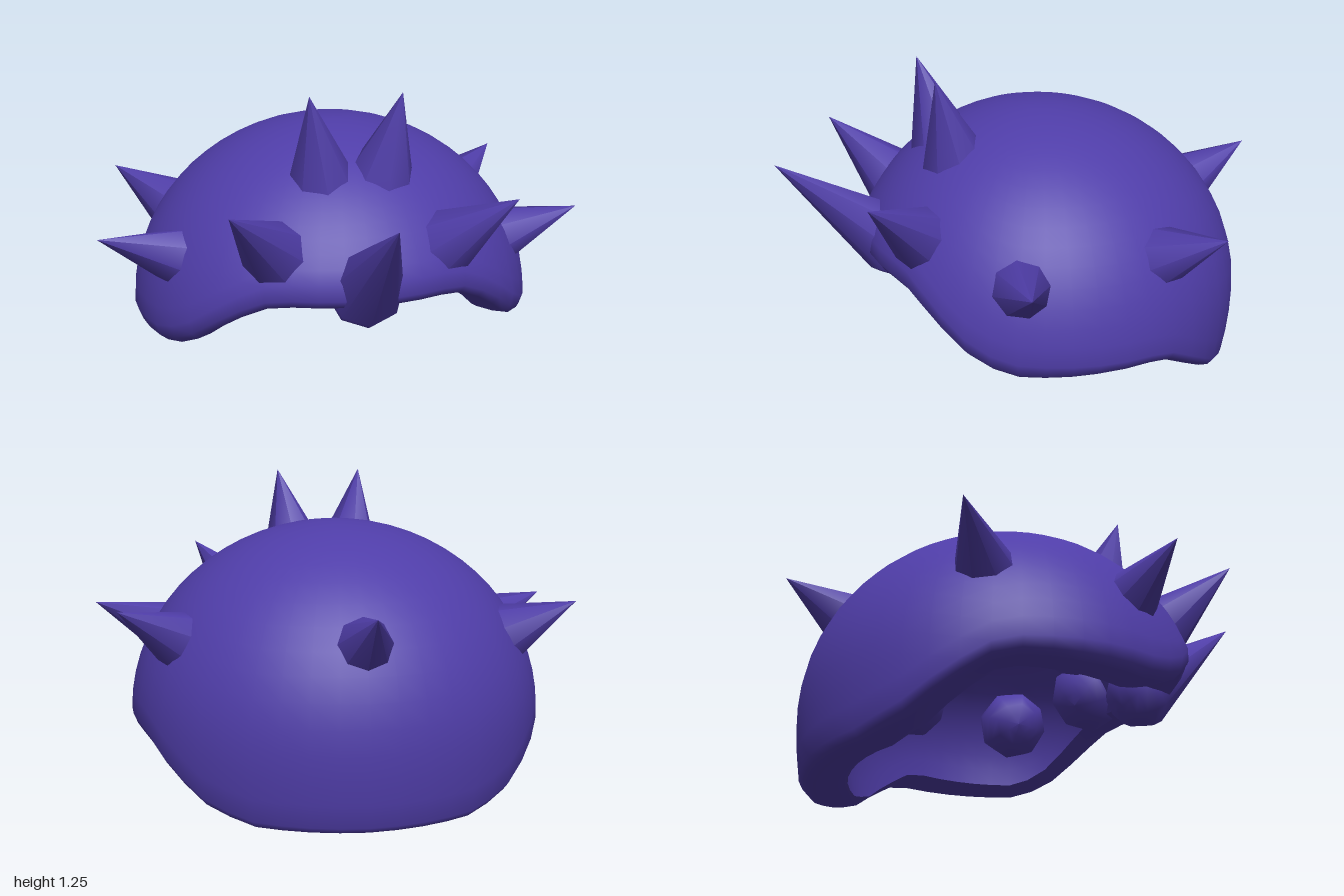
import * as THREE from 'three';
import { mergeVertices } from 'three/addons/utils/BufferGeometryUtils.js';

const purple = new THREE.MeshStandardMaterial({ color: 0x4f3da8 });
purple.name = 'purple';

// Dome ellipsoid: centre height, centre depth and radii
const CY = 0.3, CZ = -0.07, RX = 0.835, RY = 0.77, FRONT = 0.79, BACK = 0.83;
const INNER = 0.78;

// Rim height by angle in degrees from the front: brow, cheek, nape
const RIM = [[0, 0.5], [28, 0.5], [40, 0.43], [52, 0.32], [64, 0.25], [110, 0.25],
  [122, 0.16], [136, 0.05], [150, 0.005], [180, 0]];

function rimHeight(t) {
  const deg = Math.abs(THREE.MathUtils.radToDeg(t > Math.PI ? t - 2 * Math.PI : t));
  const k = Math.max(1, RIM.findIndex(([a]) => a >= deg - 1e-6));
  const [a0, y0] = RIM[k - 1], [a1, y1] = RIM[k];
  return y0 + (y1 - y0) * (deg - a0) / (a1 - a0);
}

// The inner lip sits slightly above the lowest edge, most of all at the nape
const lipHeight = (t) => rimHeight(t) + 0.02 - 0.015 * Math.cos(t);

// Point on the ellipsoid scaled by s, at azimuth t and height y; steeper below its centre
function onDome(t, y, s) {
  const h = (y - CY) / (RY * s) * (y < CY ? 0.7 : 1);
  const r = s * Math.sqrt(Math.max(0, 1 - h * h));
  const c = Math.cos(t);
  return [RX * r * Math.sin(t), y, CZ + (c > 0 ? FRONT : BACK) * r * c];
}

// Column of points from the crown down to height y
function arc(t, y, s, n) {
  const end = Math.acos((y - CY) / (RY * s));
  return Array.from({ length: n + 1 }, (_, j) =>
    onDome(t, CY + RY * s * Math.cos(end * j / n), s));
}

// Skin a surface from one column of points per azimuth
function surface(name, column, cols = 48) {
  const pos = [], index = [];
  let rows = 0;
  for (let i = 0; i <= cols; i++) {
    const pts = column((i % cols) / cols * 2 * Math.PI);
    rows = pts.length;
    pos.push(...pts.flat());
  }
  for (let i = 0; i < cols; i++) {
    for (let j = 0; j < rows - 1; j++) {
      const a = i * rows + j, b = a + 1, d = a + rows, c = d + 1;
      index.push(a, b, c, a, c, d);
    }
  }
  let geo = new THREE.BufferGeometry();
  geo.setAttribute('position', new THREE.Float32BufferAttribute(pos, 3));
  geo.setIndex(index);
  geo = mergeVertices(geo, 1e-4);
  geo.computeVertexNormals();
  const mesh = new THREE.Mesh(geo, purple);
  mesh.name = name;
  return mesh;
}

// Cone with a round root that bulges through the lining
function spike(name, root, tip, radius) {
  const from = new THREE.Vector3(...root), dir = new THREE.Vector3(...tip).sub(from);
  const profile = [];
  for (let k = 0; k <= 5; k++) {
    const a = k / 5 * Math.PI / 2;
    profile.push(new THREE.Vector2(radius * Math.sin(a), -radius * Math.cos(a)));
  }
  profile.push(new THREE.Vector2(0, dir.length()));
  const mesh = new THREE.Mesh(new THREE.LatheGeometry(profile, 8), purple);
  mesh.position.copy(from);
  mesh.quaternion.setFromUnitVectors(new THREE.Vector3(0, 1, 0), dir.normalize());
  mesh.name = name;
  return mesh;
}

export function createModel() {
  const model = new THREE.Group();
  model.name = 'spikedShell';

  // Outer dome with its rounded rim, thicker at the brow
  model.add(surface('dome', (t) => {
    const y = rimHeight(t), drop = 0.065 + 0.03 * Math.cos(t);
    return [...arc(t, y + drop, 1, 16), onDome(t, y + drop * 0.35, 0.98),
      onDome(t, y, 0.94), onDome(t, y, 0.86), onDome(t, lipHeight(t), INNER)];
  }));

  // Hollow inside
  model.add(surface('lining', (t) => arc(t, lipHeight(t), INNER, 14).reverse()));

  // Centre spikes
  model.add(spike('browSpike', [0, 0.535, 0.55], [0, 0.91, 1], 0.15));
  model.add(spike('backSpike', [0, 0.61, -0.645], [0, 0.81, -1], 0.165));

  // Paired spikes
  const pairs = [
    ['crownSpike', [0.105, 0.81, 0.285], [0.18, 1.25, 0.39], 0.17],
    ['frontSpike', [0.29, 0.625, 0.43], [0.535, 0.905, 0.72], 0.165],
    ['sideSpike', [0.57, 0.55, 0.17], [0.98, 0.7, 0.24], 0.16],
    ['rearSpike', [0.565, 0.59, -0.325], [0.87, 0.78, -0.53], 0.16],
  ];
  for (const [name, root, tip, radius] of pairs) {
    for (const s of [1, -1]) {
      const flip = ([x, y, z]) => [s * x, y, z];
      model.add(spike(name + (s > 0 ? 'Left' : 'Right'), flip(root), flip(tip), radius));
    }
  }
  return model;
}
